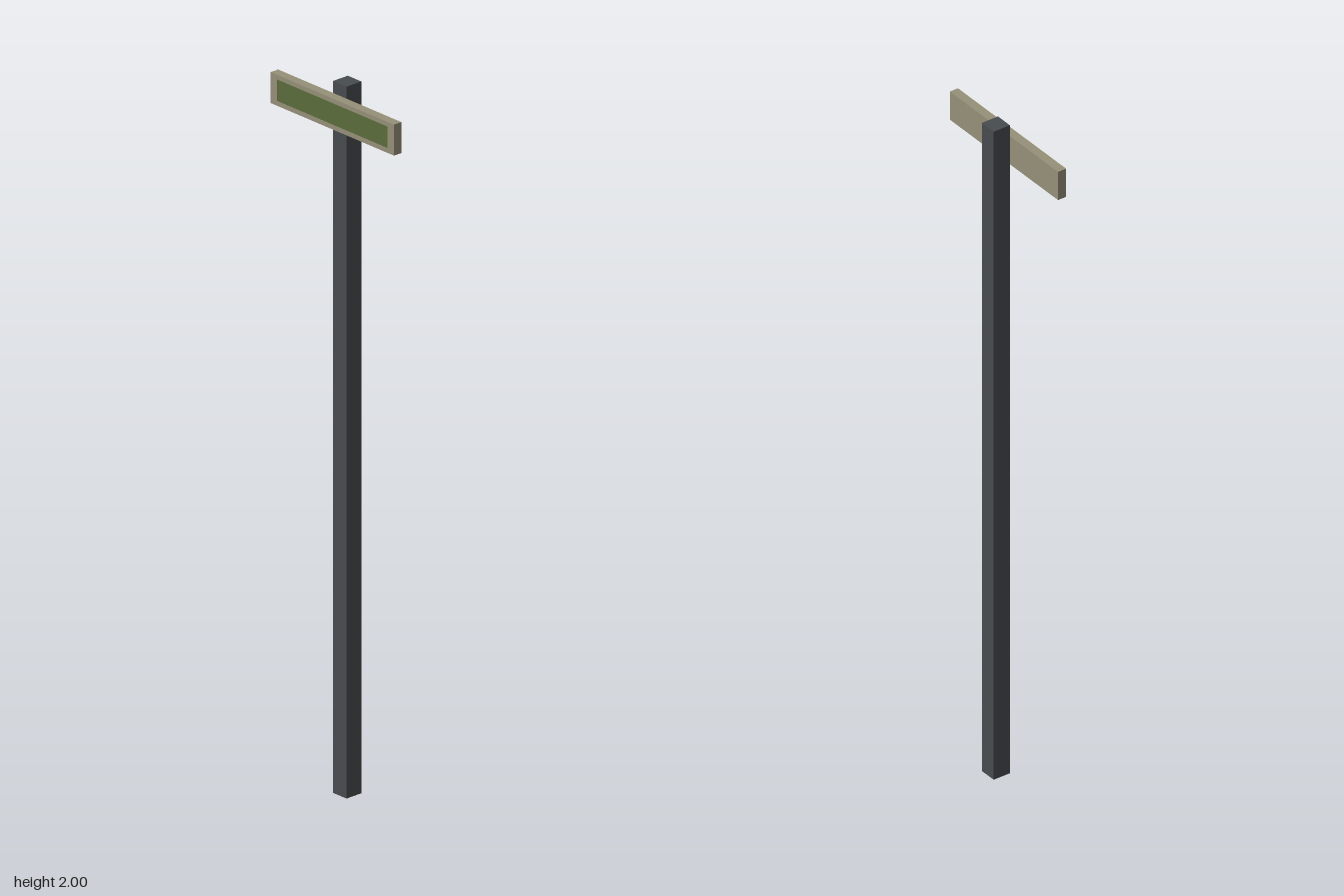
import * as THREE from 'three';

const POST = 0x474c4f, FRAME = 0x969079, PANEL = 0x5b6d3c;

function add(group, name, geometry, color, x, y, z) {
  const mesh = new THREE.Mesh(geometry, new THREE.MeshStandardMaterial({ color, flatShading: true }));
  mesh.name = name;
  mesh.position.set(x, y, z);
  group.add(mesh);
}

// Rectangle outline centred on the origin
function rect(Type, w, h) {
  return new Type().moveTo(-w / 2, -h / 2).lineTo(w / 2, -h / 2).lineTo(w / 2, h / 2).lineTo(-w / 2, h / 2).closePath();
}

export function createModel() {
  const model = new THREE.Group();
  model.name = 'signpost';

  // Square post
  add(model, 'post', new THREE.BoxGeometry(0.052, 2, 0.052), POST, 0, 1, -0.013);

  // Sign board fixed to the front of the post
  const sign = new THREE.Group();
  sign.name = 'sign';
  sign.position.set(0, 1.923, 0.013);
  const w = 0.474, h = 0.087, innerW = 0.424, innerH = 0.061;
  add(sign, 'signBacking', new THREE.BoxGeometry(w, h, 0.022), FRAME, 0, 0, 0.011);

  // Raised rim around the coloured panel
  const rim = rect(THREE.Shape, w, h);
  rim.holes.push(rect(THREE.Path, innerW, innerH));
  add(sign, 'signRim', new THREE.ExtrudeGeometry(rim, { depth: 0.004, bevelEnabled: false }), FRAME, 0, 0, 0.022);
  add(sign, 'signPanel', new THREE.BoxGeometry(innerW, innerH, 0.003), PANEL, 0, 0, 0.0235);
  model.add(sign);

  return model;
}
